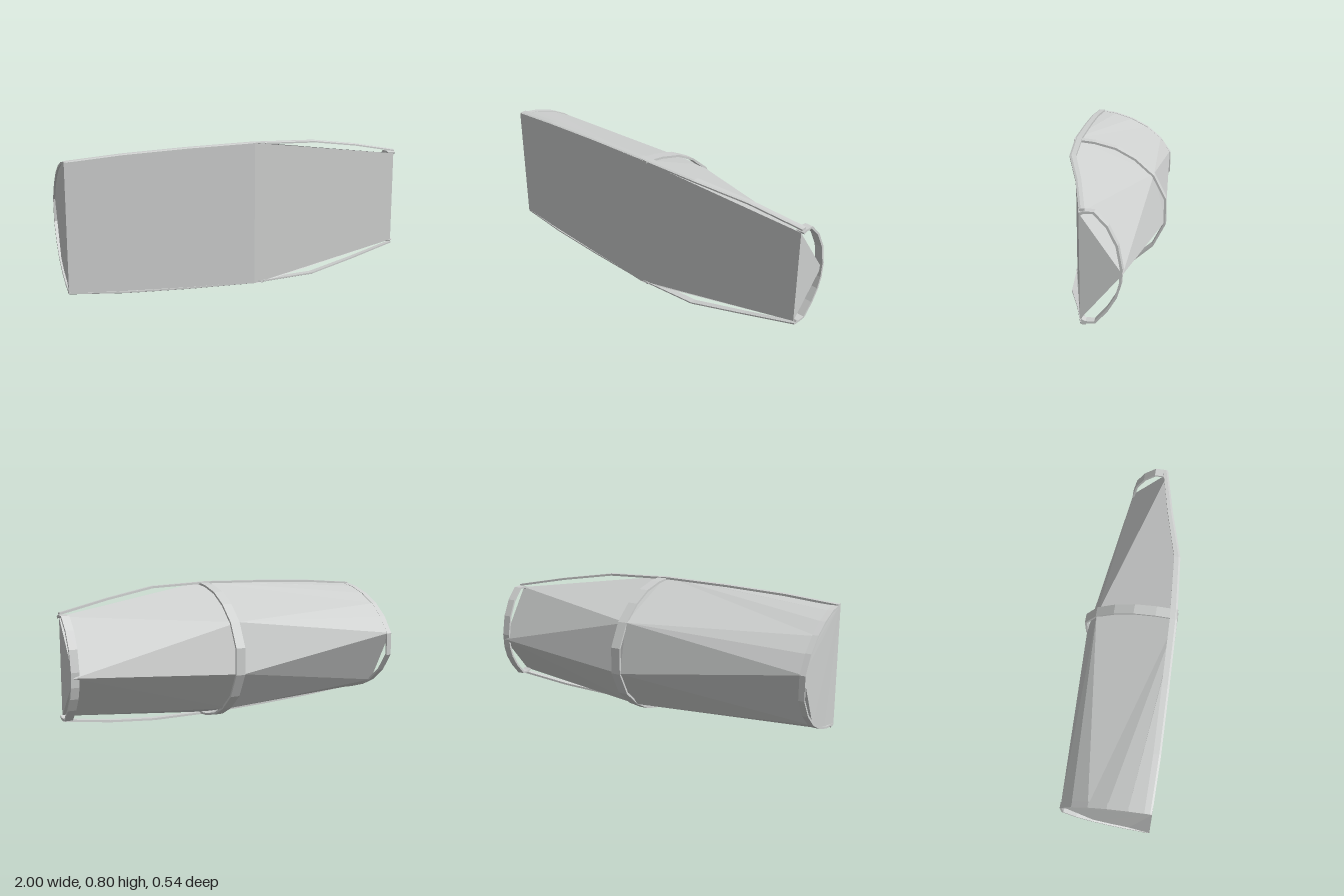
import * as THREE from 'three';

const shell = new THREE.MeshStandardMaterial({ color: 0xced0cf, flatShading: true, side: THREE.DoubleSide });
shell.name = 'pale grey';

const dist = (a, b) => Math.hypot(a[0] - b[0], a[1] - b[1], a[2] - b[2]);

// Skins a row of closed cross-sections (each a loop of [x, y, z]) and caps both ends.
// Every quad is split along its shorter diagonal; repeated points collapse into fans.
function loft(name, sections) {
  const pos = [];
  const tri = (a, b, c) => {
    const u = new THREE.Vector3(...b).sub(new THREE.Vector3(...a));
    const v = new THREE.Vector3(...c).sub(new THREE.Vector3(...a));
    if (u.cross(v).lengthSq() > 1e-14) pos.push(...a, ...b, ...c);
  };
  for (let i = 0; i < sections.length - 1; i++) {
    const s = sections[i], t = sections[i + 1], n = s.length;
    for (let j = 0; j < n; j++) {
      const k = (j + 1) % n;
      if (dist(s[j], t[k]) < dist(s[k], t[j])) {
        tri(s[j], t[j], t[k]);
        tri(s[j], t[k], s[k]);
      } else {
        tri(s[j], t[j], s[k]);
        tri(s[k], t[j], t[k]);
      }
    }
  }
  const first = sections[0], last = sections[sections.length - 1];
  for (let j = 1; j < first.length - 1; j++) {
    tri(first[0], first[j], first[j + 1]);
    tri(last[0], last[j + 1], last[j]);
  }
  const g = new THREE.BufferGeometry();
  g.setAttribute('position', new THREE.Float32BufferAttribute(pos, 3));
  g.computeVertexNormals();
  const mesh = new THREE.Mesh(g, shell);
  mesh.name = name;
  return mesh;
}

// Thin flat hoop standing across the body; profile is [z, y], thickness runs inward.
function hoop(name, profile, x0, x1, lean = 0, thick = 0.012) {
  return loft(name, profile.map(([z, y], i) => {
    const a = profile[Math.max(i - 1, 0)], b = profile[Math.min(i + 1, profile.length - 1)];
    const dz = b[0] - a[0], dy = b[1] - a[1], l = Math.hypot(dz, dy);
    const zi = z - (dy / l) * -thick, yi = y - (dz / l) * -thick;
    const s = -z * lean;
    return [[x0 + s, y, z], [x1 + s, y, z], [x1 + s, yi, 2 * z - zi], [x0 + s, yi, 2 * z - zi]];
  }));
}

// Long rail following the upper or lower front edge; path is [x, y, front z, width].
function rail(name, path, mirrored) {
  const flip = y => (mirrored ? 0.795 - y : y);
  return loft(name, path.map(([x, y, z, w]) => [
    [x, flip(y - 0.004), z], [x, flip(y), z - 0.01], [x, flip(y), z - w],
    [x, flip(y - 0.012), z - w], [x, flip(y - 0.012), z],
  ]));
}

export function createModel() {
  const group = new THREE.Group();
  group.name = 'facetedHalfBarrel';

  // Faceted body, points are [z, y]: rounded wide end, five-sided middle, triangular narrow end
  const section = (x, pts, frontX = x) =>
    pts.map(([z, y], i) => [i === 0 || i === pts.length - 1 ? frontX : x, y, z]);
  const [T, A, B, C, D] = [[0.25, 0.792], [-0.2, 0.605], [-0.266, 0.325], [-0.1, 0.1], [0.25, 0.003]];
  const [S, E, R] = [[0.066, 0.664], [-0.138, 0.37], [0.066, 0.132]];
  const P = [-0.214, 0.47];
  group.add(loft('body', [
    section(-0.99, [[0.271, 0.742], [0.15, 0.724], [0.04, 0.689], [-0.06, 0.637], [-0.15, 0.562], P, P,
      [-0.045, 0.15], [0.04, 0.108], [0.15, 0.073], [0.271, 0.055]], -1),
    section(0.06, [T, T, T, T, A, A, B, C, D, D, D], 0.03),
    section(0.985, [S, S, S, S, E, E, E, E, R, R, R]),
  ]));

  // Hoops
  group.add(hoop('wideHoop', [[0.255, 0.742], [0.15, 0.727], [0.04, 0.692], [-0.06, 0.64], [-0.15, 0.565],
    [-0.218, 0.468], [-0.218, 0.335], [-0.15, 0.232], [-0.06, 0.155], [0.04, 0.105], [0.15, 0.07], [0.255, 0.055]],
  -1, -0.968));
  group.add(hoop('middleHoop', [[0.245, 0.793], [0.13, 0.782], [0.01, 0.753], [-0.1, 0.695], [-0.203, 0.605],
    [-0.272, 0.472], [-0.272, 0.323], [-0.203, 0.19], [-0.1, 0.1], [0.01, 0.042], [0.13, 0.013], [0.245, 0.002]],
  0.045, 0.1, 0.045));
  group.add(hoop('narrowHoop', [[0.062, 0.668], [0.04, 0.678], [-0.008, 0.676], [-0.072, 0.608], [-0.118, 0.515],
    [-0.139, 0.4], [-0.133, 0.32], [-0.112, 0.255], [-0.07, 0.187], [-0.01, 0.12], [0.04, 0.117], [0.062, 0.128]],
  0.953, 0.998));

  // Edge rails
  const path = [[-1, 0.744, 0.271, 0.04], [-0.7, 0.769, 0.271, 0.04], [-0.35, 0.785, 0.261, 0.04],
    [0.03, 0.795, 0.248, 0.04], [0.4, 0.786, 0.214, 0.035], [0.7, 0.743, 0.13, 0.03], [0.99, 0.688, 0.064, 0.028]];
  group.add(rail('upperRail', path, false));
  group.add(rail('lowerRail', path, true));

  return group;
}
